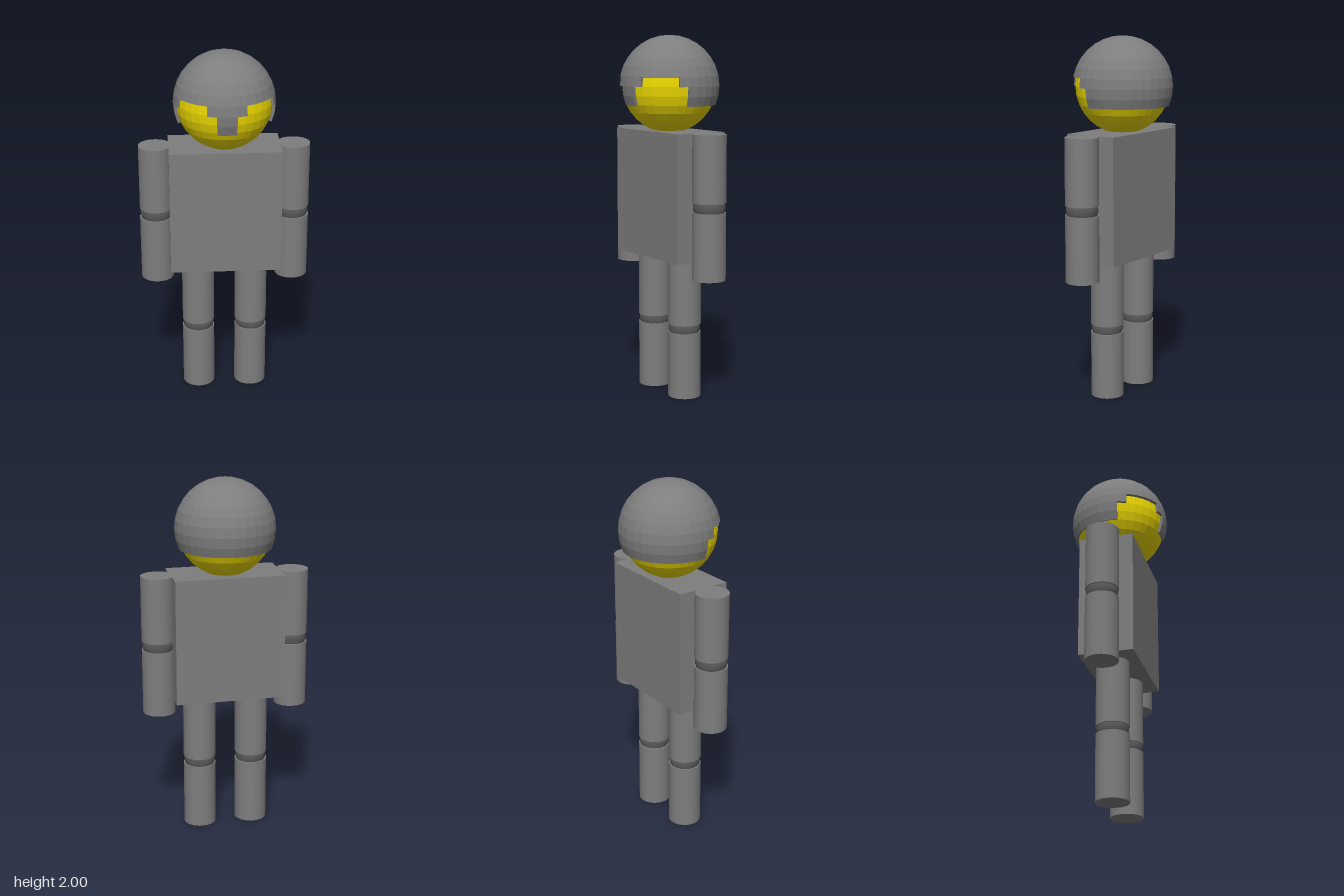
import * as THREE from 'three';

const grey = new THREE.MeshStandardMaterial({ color: 0x7e7e7e });
const greyFlat = new THREE.MeshStandardMaterial({ color: 0x7e7e7e, flatShading: true });
const darkGrey = new THREE.MeshStandardMaterial({ color: 0x585858 });
const yellowFlat = new THREE.MeshStandardMaterial({ color: 0xecd800, flatShading: true });

const HEAD_Y = 1.724, STEP = Math.PI / 16;

function addMesh(parent, name, geometry, material, x = 0, y = 0, z = 0) {
  const mesh = new THREE.Mesh(geometry, material);
  mesh.name = name;
  mesh.position.set(x, y, z);
  parent.add(mesh);
}

// Helmet cells: rows count down from the crown, columns count around from the front (+z)
function isSolid(row, col) {
  if (row > 9) return false;
  const c = (col + 32) % 32;
  const side = c < 16 ? c : 31 - c; // mirrored column, 0 is the nose guard
  if (row === 7) return side < 2 || side > 5;
  if (row > 7) return side < 1 || side > 6;
  return true;
}

// Thick shell made of sphere cells, with walls wherever a cell borders an opening
function helmetGeometry(outer, inner) {
  const positions = [];
  const point = (r, row, col) =>
    new THREE.Vector3().setFromSphericalCoords(r, row * STEP, col * STEP);
  const quad = (a, b, c, d) => {
    for (const p of [a, b, c, a, c, d]) positions.push(p.x, p.y, p.z);
  };
  for (let row = 0; row < 10; row++) {
    for (let col = 0; col < 32; col++) {
      if (!isSolid(row, col)) continue;
      const corners = [[row, col], [row + 1, col], [row + 1, col + 1], [row, col + 1]];
      const o = corners.map(([r, c]) => point(outer, r, c));
      const i = corners.map(([r, c]) => point(inner, r, c));
      quad(o[0], o[1], o[2], o[3]);
      quad(i[3], i[2], i[1], i[0]);
      const neighbours = [[row, col - 1], [row + 1, col], [row, col + 1], [row - 1, col]];
      neighbours.forEach(([r, c], k) => {
        const n = (k + 1) % 4;
        if (!isSolid(r, c)) quad(o[k], i[k], i[n], o[n]);
      });
    }
  }
  const geometry = new THREE.BufferGeometry();
  geometry.setAttribute('position', new THREE.Float32BufferAttribute(positions, 3));
  geometry.computeVertexNormals();
  return geometry;
}

// Limb: two cylinders with a dark ball joint showing in the gap between them
function makeLimb(name, jointName, x, bottom, lowTop, highBottom, top) {
  const limb = new THREE.Group();
  limb.name = name;
  const segment = (part, y0, y1) =>
    addMesh(limb, part, new THREE.CylinderGeometry(0.091, 0.091, y1 - y0, 48), grey, x, (y0 + y1) / 2);
  segment('lowerSegment', bottom, lowTop);
  segment('upperSegment', highBottom, top);
  addMesh(limb, jointName, new THREE.SphereGeometry(0.087, 32, 16), darkGrey, x, (lowTop + highBottom) / 2);
  return limb;
}

export function createModel() {
  const model = new THREE.Group();
  model.name = 'figure';

  addMesh(model, 'torso', new THREE.BoxGeometry(0.61, 0.7, 0.304), grey, 0, 1.13, 0);

  // Arms and legs, mirrored
  for (const [side, s] of [['left', 1], ['right', -1]]) {
    model.add(makeLimb(side + 'Arm', 'elbow', s * 0.378, 0.697, 1.063, 1.115, 1.48));
    model.add(makeLimb(side + 'Leg', 'knee', s * 0.15, 0, 0.368, 0.413, 0.782));
  }

  // Head and open-faced helmet
  addMesh(model, 'head', new THREE.SphereGeometry(0.26, 32, 16), yellowFlat, 0, HEAD_Y, 0);
  addMesh(model, 'helmet', helmetGeometry(0.276, 0.255), greyFlat, 0, HEAD_Y, 0);

  return model;
}
